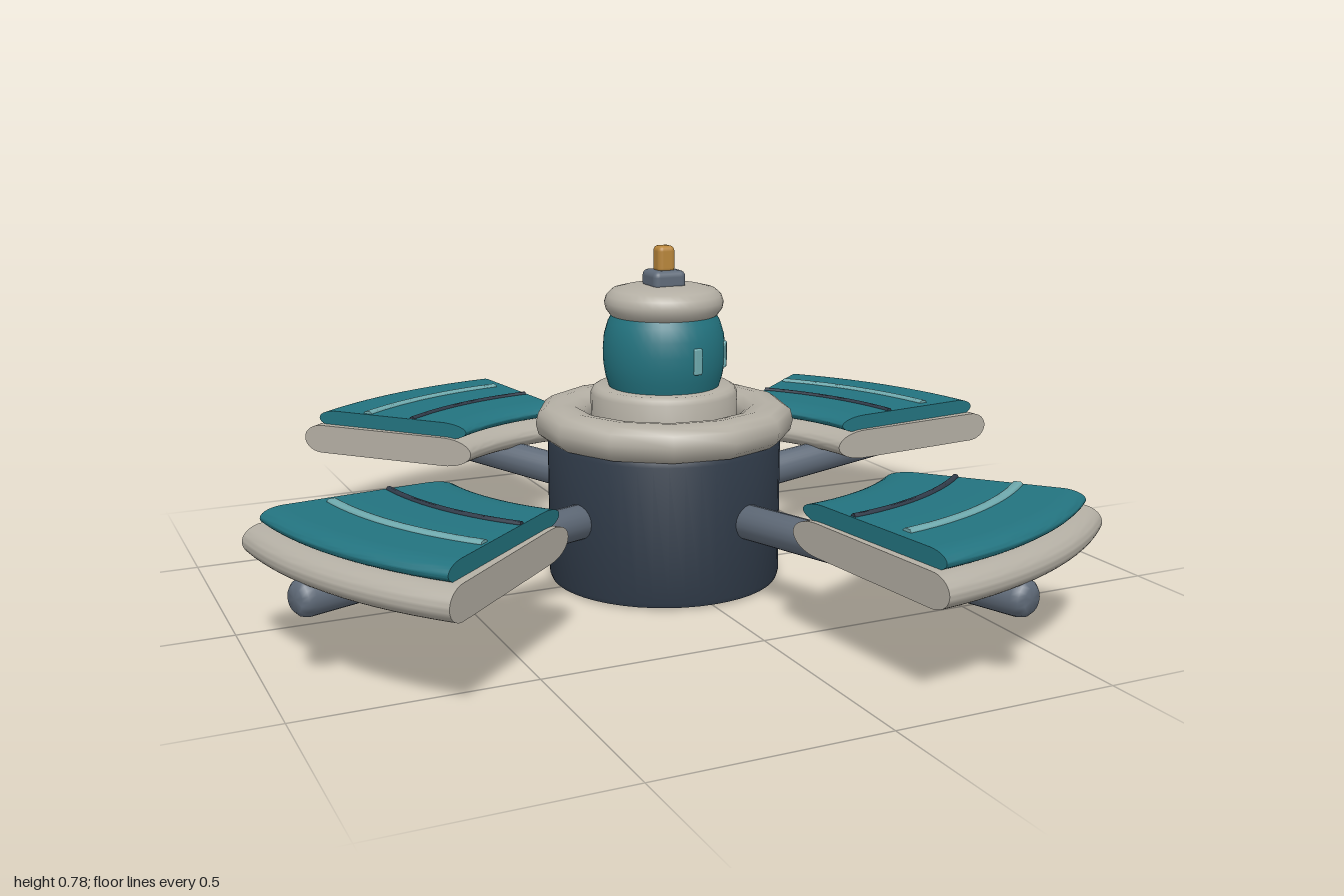
import * as THREE from 'three';
import { toCreasedNormals } from 'three/addons/utils/BufferGeometryUtils.js';
import { RoundedBoxGeometry } from 'three/addons/geometries/RoundedBoxGeometry.js';

const deg = Math.PI / 180;
const mat = (color) => new THREE.MeshStandardMaterial({ color });
const shell = mat(0xb4afa4), teal = mat(0x23737f), navy = mat(0x303b49);
const slate = mat(0x606b79), paleTeal = mat(0x6fa9ad), brass = mat(0xb8863b);

function add(parent, name, geometry, material, x = 0, y = 0, z = 0) {
  const mesh = new THREE.Mesh(geometry, material);
  mesh.name = name;
  mesh.position.set(x, y, z);
  parent.add(mesh);
  return mesh;
}

// Turned part from [radius, height] pairs listed from bottom to top
function turned(points, segments = 40, crease = 35, start = 0) {
  const pts = points.map(([r, y]) => new THREE.Vector2(r, y));
  return toCreasedNormals(new THREE.LatheGeometry(pts, segments, start), crease * deg);
}

// Flat section with elliptical inner and outer edges
function section(r0, r1, y0, y1, innerRound, outerRound) {
  const h = (y1 - y0) / 2, shape = new THREE.Shape();
  shape.absellipse(r1 - outerRound, y0 + h, outerRound, h, -Math.PI / 2, Math.PI / 2);
  shape.absellipse(r0 + innerRound, y0 + h, innerRound, h, Math.PI / 2, Math.PI * 1.5);
  return shape;
}

// Sweep a radial section around the y axis between two angles
function sector(shape, a0, a1) {
  const geo = new THREE.ExtrudeGeometry(shape, { depth: 1, steps: 14, curveSegments: 10, bevelEnabled: false });
  const p = geo.attributes.position;
  for (let i = 0; i < p.count; i++) {
    const r = p.getX(i), a = (a0 + (a1 - a0) * p.getZ(i)) * deg;
    p.setXYZ(i, r * Math.cos(a), p.getY(i), r * Math.sin(a));
  }
  geo.deleteAttribute('uv');
  return toCreasedNormals(geo, 40 * deg);
}

// One arm with its curved panel
function createBlade() {
  const blade = new THREE.Group();
  blade.name = 'blade';

  const rod = turned([[0, 0], [0.03, 0], [0.04, 0.012], [0.04, 0.795], [0.036, 0.81], [0.026, 0.82], [0, 0.82]], 20, 50);
  rod.rotateZ(-Math.PI / 2).translate(0.18, 0.18, 0).rotateY(20 * deg);
  add(blade, 'arm', rod, slate);

  add(blade, 'panelBase', sector(section(0.515, 1, 0.2, 0.272, 0.08, 0.05), -42.7, -6.4), shell);
  add(blade, 'panelCover', sector(section(0.533, 0.967, 0.266, 0.308, 0.07, 0.05), -41.5, -7.6), teal);
  add(blade, 'panelStripe', sector(section(0.812, 0.836, 0.295, 0.314, 0.006, 0.006), -41, -9.5), paleTeal);
  add(blade, 'panelSeam', sector(section(0.682, 0.696, 0.295, 0.314, 0.005, 0.005), -42 + 0.6, -8), navy);
  return blade;
}

export function createModel() {
  const model = new THREE.Group();
  model.name = 'rotorStation';

  // Central drum and faceted collar
  add(model, 'hub', turned([[0, 0], [0.255, 0], [0.266, 0.004], [0.27, 0.015], [0.27, 0.325], [0.266, 0.336], [0.255, 0.34], [0, 0.34]], 48, 50), navy);
  add(model, 'collar', turned([
    [0.18, 0.375], [0.19, 0.35], [0.215, 0.336], [0.275, 0.336], [0.293, 0.35],
    [0.299, 0.375], [0.293, 0.4], [0.275, 0.412], [0.24, 0.416], [0.208, 0.411], [0.188, 0.398], [0.18, 0.375],
  ], 13, 50, Math.PI / 2), shell);

  // Turret
  add(model, 'turretBase', turned([[0, 0.335], [0.168, 0.335], [0.17, 0.44], [0.165, 0.45], [0.155, 0.456], [0, 0.456]], 32, 50), shell);
  add(model, 'turretBody', turned([
    [0, 0.45], [0.126, 0.45], [0.135, 0.48], [0.14, 0.51], [0.141, 0.54],
    [0.138, 0.575], [0.129, 0.605], [0.118, 0.625], [0, 0.625],
  ]), teal);
  add(model, 'turretCap', turned([
    [0, 0.612], [0.105, 0.612], [0.123, 0.62], [0.134, 0.635], [0.137, 0.65],
    [0.132, 0.665], [0.118, 0.678], [0.09, 0.685], [0.045, 0.688], [0, 0.689],
  ], 40, 50), shell);

  // Narrow windows on the turret
  for (const angle of [8, 57]) {
    const a = angle * deg;
    const strip = add(model, 'window', new RoundedBoxGeometry(0.021, 0.06, 0.014, 2, 0.004), paleTeal,
      0.138 * Math.sin(a), 0.53, 0.138 * Math.cos(a));
    strip.rotation.y = a;
  }

  // Beacon
  add(model, 'beaconMount', new RoundedBoxGeometry(0.08, 0.044, 0.08, 3, 0.014), slate, 0, 0.7, 0);
  add(model, 'beacon', new RoundedBoxGeometry(0.042, 0.062, 0.042, 3, 0.012), brass, 0, 0.746, 0);

  // Four blades
  for (let i = 0; i < 4; i++) {
    const blade = createBlade();
    blade.rotation.y = i * Math.PI / 2;
    model.add(blade);
  }
  return model;
}
